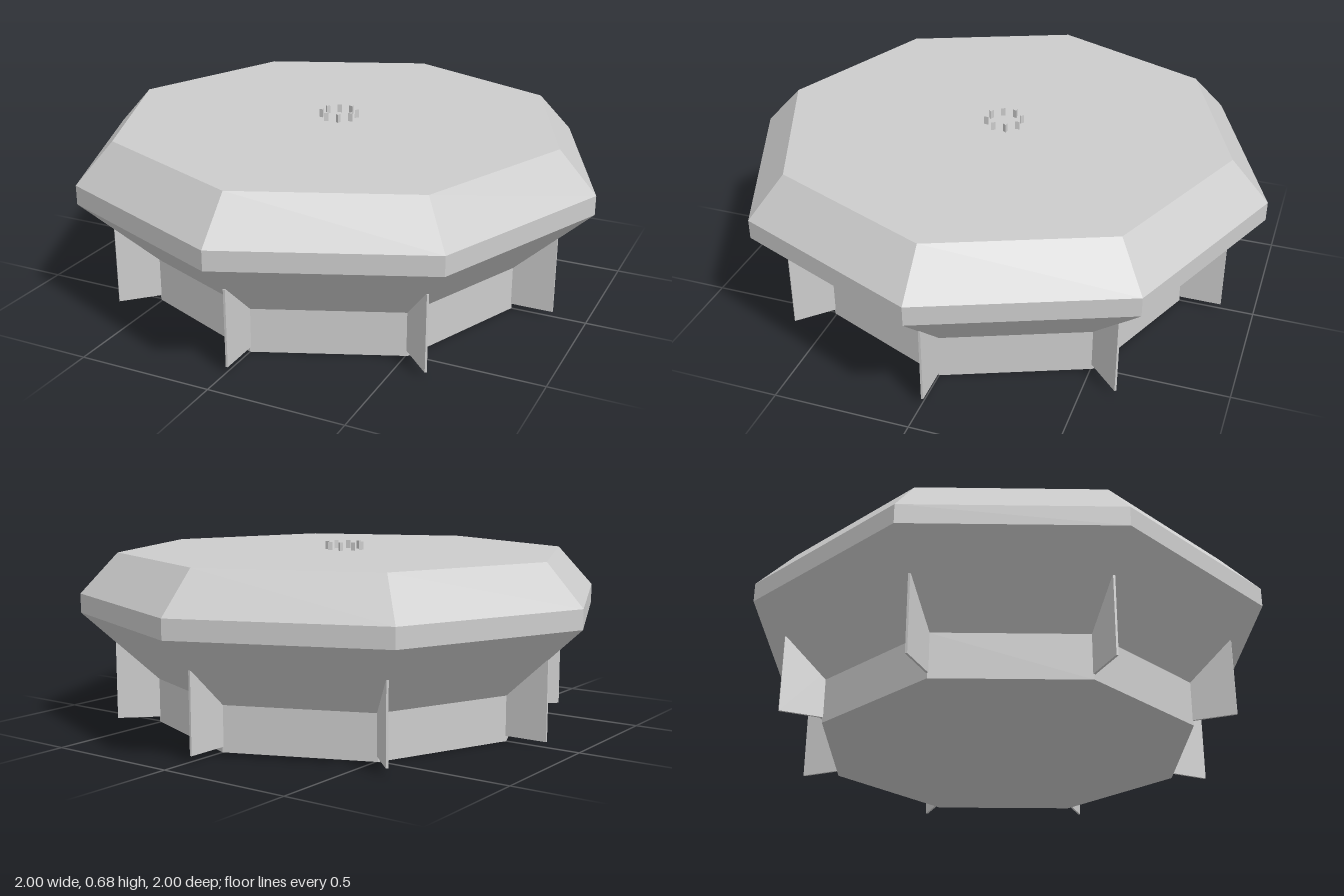
import * as THREE from 'three';

export function createModel() {
  const model = new THREE.Group();
  const SIDES = 8;
  const grey = new THREE.MeshStandardMaterial({ color: 0xcccccc, flatShading: true });
  grey.name = 'lightGrey';

  // Octagonal body: base wall, flared underside, rim and bevelled top
  const profile = [
    [0, 0], [0.717, 0], [0.717, 0.167], [1, 0.428],
    [1, 0.5], [0.859, 0.652], [0, 0.652],
  ].map(([r, y]) => new THREE.Vector2(r, y));
  const body = new THREE.Mesh(new THREE.LatheGeometry(profile, SIDES), grey);
  body.name = 'body';
  model.add(body);

  // Thin support fins, one under each corner
  const finGeometry = new THREE.BoxGeometry(0.008, 0.29, 0.255);
  finGeometry.translate(0, 0.165, 0.7475);

  // Small three-sided studs in a ring on the top
  const studGeometry = new THREE.CylinderGeometry(0.01, 0.01, 0.035, 3);
  studGeometry.translate(0, 0.666, 0.065);

  const addRing = (geometry, name, offset) => {
    for (let i = 0; i < SIDES; i++) {
      const part = new THREE.Mesh(geometry, grey);
      part.name = name;
      part.rotation.y = ((i + offset) / SIDES) * Math.PI * 2;
      model.add(part);
    }
  };
  addRing(finGeometry, 'supportFin', 0);
  addRing(studGeometry, 'topStud', 0.5);

  return model;
}
